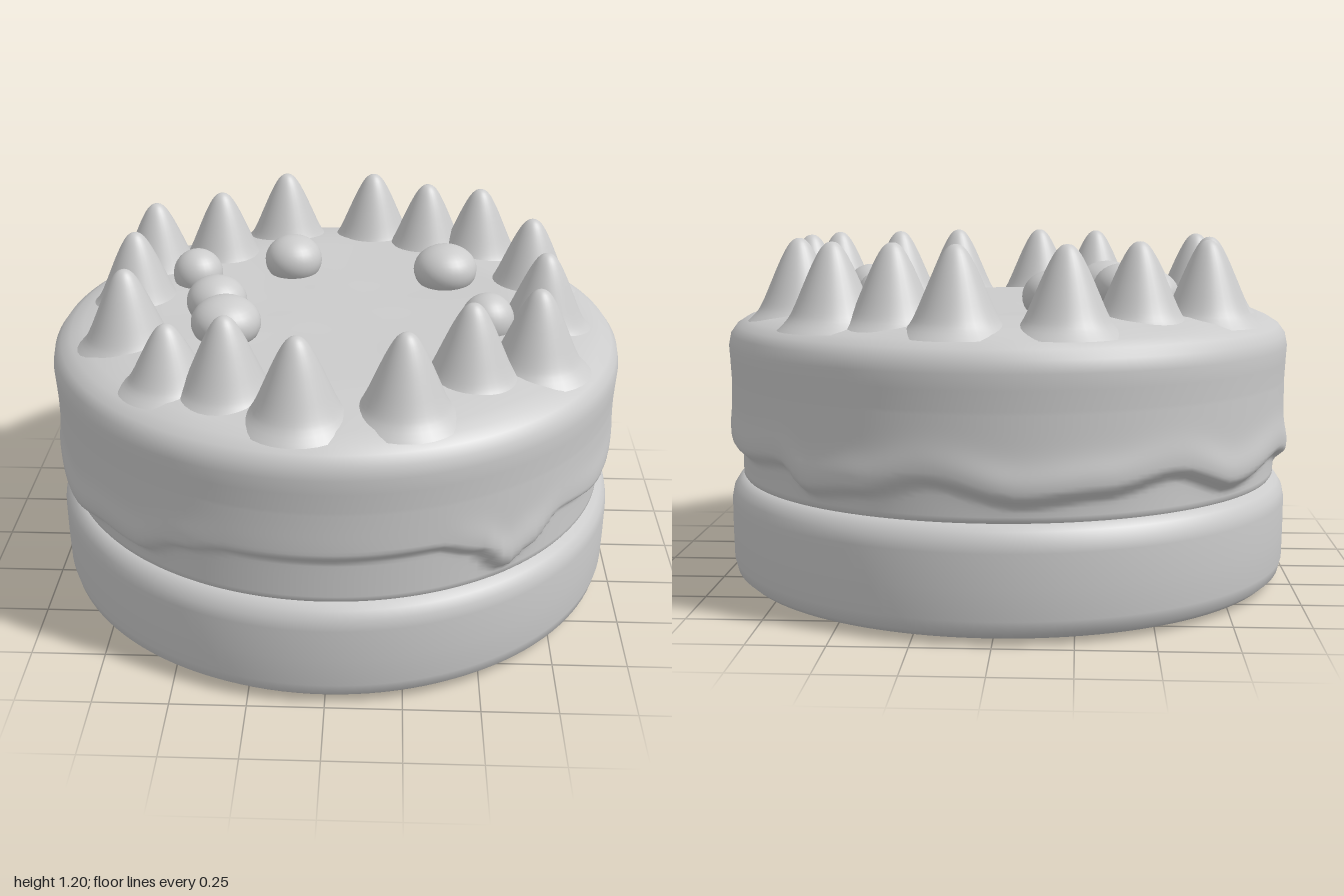
import * as THREE from 'three';
import { mergeVertices } from 'three/addons/utils/BufferGeometryUtils.js';

const material = new THREE.MeshStandardMaterial({ color: 0xcccccc });
const V = (x, y) => new THREE.Vector2(x, y);

function addMesh(parent, geometry, name) {
  const mesh = new THREE.Mesh(geometry, material);
  mesh.name = name;
  parent.add(mesh);
  return mesh;
}

// Weld the lathe seam so shading stays smooth all the way round
function weld(geometry) {
  geometry.deleteAttribute('uv');
  geometry.deleteAttribute('normal');
  const welded = mergeVertices(geometry, 1e-4);
  welded.computeVertexNormals();
  return welded;
}

// Height of the icing's lower edge: [degrees from the front towards +x, y]
const EDGE = [
  [0, 0.53], [21, 0.54], [29, 0.5], [35, 0.41], [41, 0.45], [50, 0.52], [65, 0.49],
  [80, 0.51], [100, 0.49], [120, 0.47], [135, 0.49], [143, 0.42], [155, 0.44], [168, 0.49],
  [185, 0.43], [200, 0.45], [215, 0.49], [230, 0.42], [250, 0.47], [268, 0.42], [285, 0.47],
  [300, 0.42], [312, 0.45], [322, 0.44], [332, 0.5], [342, 0.53], [360, 0.53],
];
function edgeHeight(deg) {
  const i = EDGE.findIndex((p) => p[0] >= deg);
  if (i <= 0) return EDGE[0][1];
  const [a, b] = [EDGE[i - 1], EDGE[i]];
  return THREE.MathUtils.lerp(a[1], b[1], THREE.MathUtils.smoothstep(deg, a[0], b[0]));
}

// Upper sponge with the dripping icing pushed out above its wavy edge
function icedLayer() {
  const profile = [V(0.85, 0.36), V(0.94, 0.365)];
  for (let y = 0.38; y < 0.72; y += 0.0125) profile.push(V(0.95, y));
  profile.push(V(0.987, 0.78), V(0.99, 0.83), V(0.982, 0.87), V(0.96, 0.9), V(0.925, 0.922),
    V(0.88, 0.938), V(0.8, 0.955), V(0.68, 0.97), V(0.6, 0.972), V(0.4, 0.965), V(0.2, 0.968), V(0, 0.966));
  const geometry = new THREE.LatheGeometry(profile, 180);
  const pos = geometry.attributes.position;
  for (let i = 0; i < pos.count; i++) {
    const [x, y, z] = [pos.getX(i), pos.getY(i), pos.getZ(i)];
    if (y < 0.37) continue;
    const r = Math.hypot(x, z);
    const angle = Math.atan2(x, z);
    const deg = (THREE.MathUtils.radToDeg(angle) + 360) % 360;
    if (y < 0.75) {
      const edge = edgeHeight(deg);
      const cover = THREE.MathUtils.smoothstep(y, edge - 0.015, edge + 0.03);
      const low = THREE.MathUtils.clamp((0.54 - edge) / 0.1, 0, 1);
      const bulge = low * 0.014 * Math.exp(-(((y - edge - 0.06) / 0.06) ** 2));
      const radius = 0.95 + 0.034 * cover + bulge;
      pos.setX(i, radius * Math.sin(angle));
      pos.setZ(i, radius * Math.cos(angle));
    } else if (r < 0.9) {
      pos.setY(i, y + 0.003 * Math.sin(9 * x + 4 * z) * Math.cos(11 * z - 3 * x));
    }
  }
  return weld(geometry);
}

export function createModel() {
  const cake = new THREE.Group();
  cake.name = 'cake';

  // Lower sponge, rounded at both rims
  const base = [[0, 0.01], [0.6, 0.01], [0.92, 0.01], [0.955, 0.018], [0.98, 0.04], [0.99, 0.08],
    [0.992, 0.18], [0.992, 0.29], [0.985, 0.325], [0.968, 0.352], [0.945, 0.372], [0.9, 0.378], [0, 0.378]];
  addMesh(cake, weld(new THREE.LatheGeometry(base.map((p) => V(...p)), 128)), 'lowerSponge');

  addMesh(cake, icedLayer(), 'icedUpperSponge');

  // Shallow foot under the sponge
  addMesh(cake, new THREE.CylinderGeometry(0.94, 0.9, 0.015, 96), 'foot').position.y = 0.0075;

  // Ring of piped cream peaks: [x, z, height]
  const peakCurve = new THREE.SplineCurve([V(0.185, -0.025), V(0.15, 0.01), V(0.127, 0.05), V(0.1, 0.11),
    V(0.068, 0.18), V(0.04, 0.23), V(0.018, 0.252), V(0, 0.256)]);
  const peakGeometry = weld(new THREE.LatheGeometry(peakCurve.getPoints(20), 32));
  const peaks = new THREE.Group();
  peaks.name = 'creamPeaks';
  cake.add(peaks);
  [[-0.22, -0.76], [0.12, -0.77], [0.33, -0.65], [0.53, -0.6], [0.7, -0.27], [0.72, 0.07],
    [0.67, 0.39], [0.45, 0.51], [0.24, 0.74], [-0.09, 0.78], [-0.32, 0.64], [-0.51, 0.58, 0.78],
    [-0.69, 0.27], [-0.71, -0.08], [-0.68, -0.39], [-0.45, -0.52]].forEach(([x, z, h = 1], i) => {
    const peak = addMesh(peaks, peakGeometry, 'creamPeak');
    peak.position.set(x, 0.945, z);
    const width = i === 11 ? 0.88 : 0.97;
    peak.scale.set(width, h, width);
    peak.rotation.y = i * 0.7;
  });

  // Small round berries sunk into the icing: [x, z, radius, top height]
  const berries = new THREE.Group();
  berries.name = 'berries';
  cake.add(berries);
  const berryGeometry = new THREE.SphereGeometry(1, 28, 18);
  [[-0.17, -0.34, 0.105, 1.1], [-0.51, -0.21, 0.09, 1.09], [-0.41, 0.07, 0.105, 1.1],
    [-0.36, 0.25, 0.118, 1.1], [0.39, -0.26, 0.115, 1.1], [0.52, 0.17, 0.09, 1.09]].forEach(([x, z, r, top]) => {
    const berry = addMesh(berries, berryGeometry, 'berry');
    berry.scale.set(r, 0.09, r);
    berry.position.set(x, top - 0.09, z);
  });

  return cake;
}
